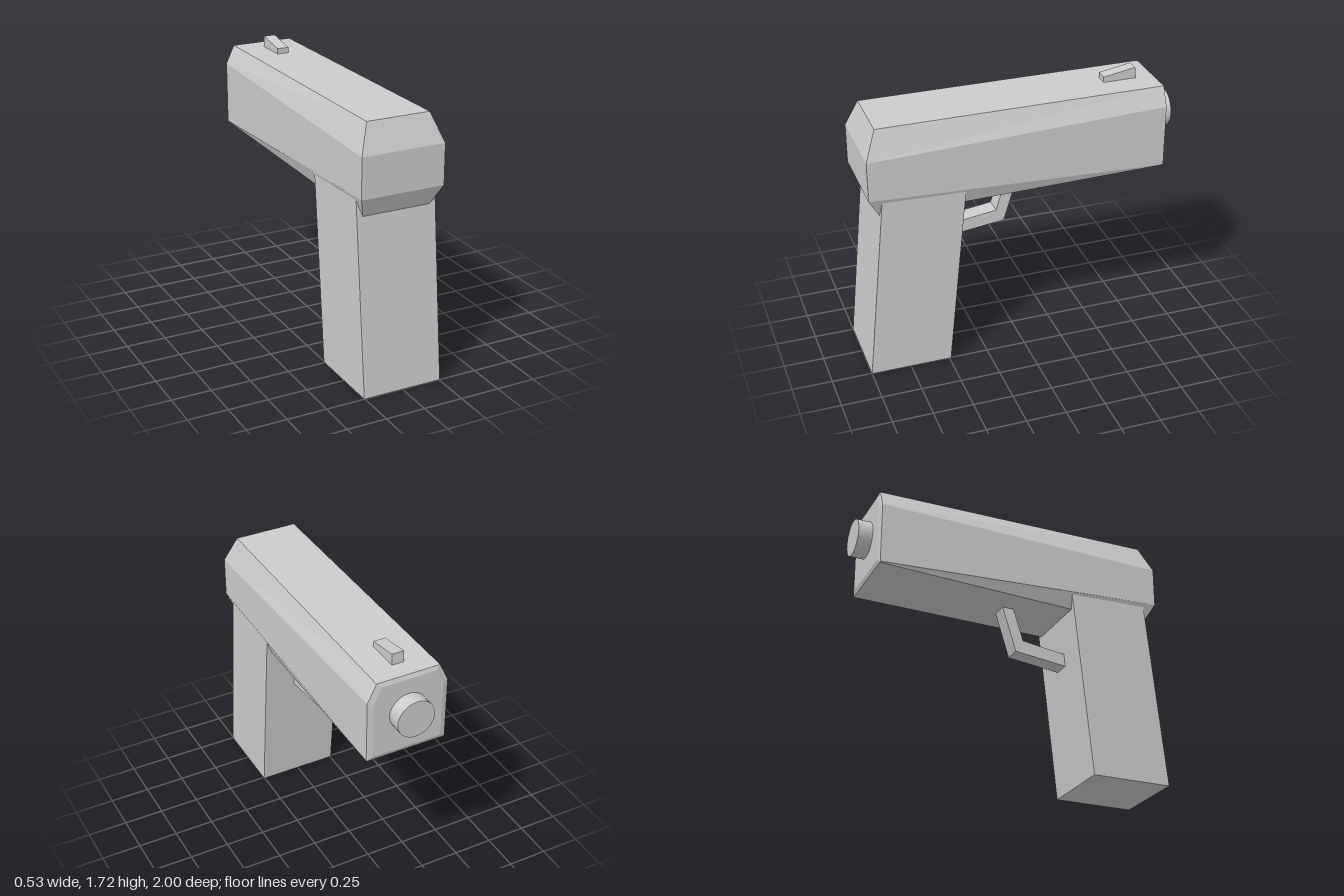
import * as THREE from 'three';

const material = new THREE.MeshStandardMaterial({ color: 0xcccccc, flatShading: true });
const smooth = new THREE.MeshStandardMaterial({ color: 0xcccccc });

function addMesh(group, name, geometry, mat = material) {
  const mesh = new THREE.Mesh(geometry, mat);
  mesh.name = name;
  group.add(mesh);
  return mesh;
}

// Extrudes a side outline of [z, y] points symmetrically across x.
function sidePlate(outline, halfWidth) {
  const shape = new THREE.Shape(outline.map(([z, y]) => new THREE.Vector2(-z, y)));
  const geometry = new THREE.ExtrudeGeometry(shape, { depth: halfWidth * 2, bevelEnabled: false });
  return geometry.translate(0, 0, -halfWidth).rotateY(Math.PI / 2);
}

// Mirrors a half section of [x, y, z] points, top to bottom, into a closed ring
// running counter-clockwise as seen from +z.
function ring(half) {
  return [...half.map(([x, y, z]) => [-x, y, z]), ...half.slice().reverse()];
}

// Faceted slide lofted through octagonal rings, with capped ends.
function slideGeometry() {
  const rear = ring([[0.2, 1.645, 0.89], [0.265, 1.47, 0.96], [0.265, 1.22, 0.96], [0.21, 1.075, 0.88]]);
  const front = ring([[0.2, 1.645, -0.9], [0.255, 1.53, -0.9], [0.255, 1.137, -0.9], [0.25, 1.132, -0.9]]);
  const muzzle = front.map(([x, y]) => [x * 0.86, 1.39 + (y - 1.39) * 0.9, -0.91]);
  const positions = [];
  const quad = (a, b, c, d) => positions.push(...a, ...b, ...c, ...a, ...c, ...d);

  for (const [near, far] of [[rear, front], [front, muzzle]]) {
    for (let i = 0; i < 8; i++) {
      const j = (i + 1) % 8;
      quad(near[i], far[i], far[j], near[j]);
    }
  }
  // End caps, each split into three bands
  for (let i = 0; i < 3; i++) {
    quad(rear[i], rear[i + 1], rear[6 - i], rear[7 - i]);
    quad(muzzle[7 - i], muzzle[6 - i], muzzle[i + 1], muzzle[i]);
  }
  const geometry = new THREE.BufferGeometry();
  geometry.setAttribute('position', new THREE.Float32BufferAttribute(positions, 3));
  geometry.computeVertexNormals();
  return geometry;
}

export function createModel() {
  const model = new THREE.Group();
  model.name = 'toyPistol';

  addMesh(model, 'slide', slideGeometry());

  // Slanted grip, running up into the slide
  addMesh(model, 'grip', sidePlate([[1, 0], [0.49, 0], [0.36, 1.28], [0.87, 1.28]], 0.255));

  // Bent guard between the grip and the underside
  addMesh(model, 'triggerGuard', sidePlate([
    [0.45, 0.769], [0.07, 0.815], [-0.03, 1.14], [0.045, 1.14], [0.12, 0.895], [0.45, 0.849],
  ], 0.055));

  // Wedge-shaped sight on top
  addMesh(model, 'sight', sidePlate([[-0.575, 1.63], [-0.785, 1.63], [-0.78, 1.715], [-0.575, 1.68]], 0.038));

  // Short barrel end
  const barrel = addMesh(model, 'barrel', new THREE.CylinderGeometry(0.118, 0.118, 0.12, 32), smooth);
  barrel.rotation.x = Math.PI / 2;
  barrel.position.set(0, 1.405, -0.94);

  return model;
}
